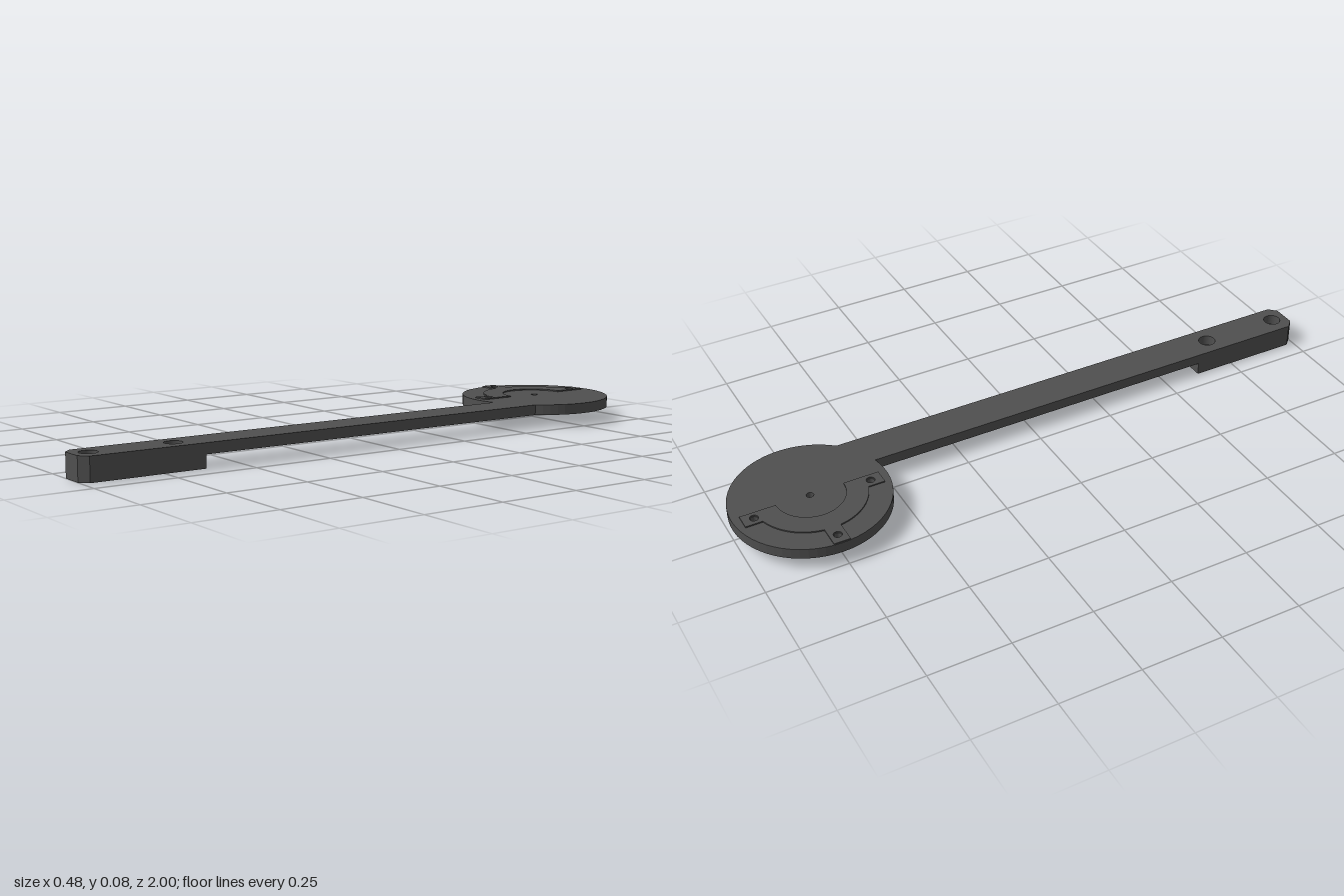
import * as THREE from 'three';

const DISC_Z = -0.76, DISC_R = 0.24;
const ARM_L = 0.06, ARM_R = 0.18, ARM_X = 0.12, FRONT = 1, CHAMFER = 0.024;
const UNDER = 0.04, TOP = 0.073, PAD_TOP = 0.077;
const BOLTS = [0.69, 0.95];
const TABS = [[-0.205, -0.76], [-0.025, -0.94], [-0.025, -0.58]];

const material = new THREE.MeshStandardMaterial({ color: 0x505050 });

// Plan shapes use (x, -z), then are laid flat between two heights
function slab(name, shape, y0, y1, curveSegments) {
  const geometry = new THREE.ExtrudeGeometry(shape, { depth: y1 - y0, bevelEnabled: false, curveSegments });
  geometry.rotateX(-Math.PI / 2).translate(0, y0, 0);
  const mesh = new THREE.Mesh(geometry, material);
  mesh.name = name;
  return mesh;
}

function drill(shape, x, z, r) {
  shape.holes.push(new THREE.Path().absarc(x, -z, r, 0, Math.PI * 2, true));
}

// Chamfered front end, from the right edge of the arm to its left edge
function frontEnd(shape) {
  shape.lineTo(ARM_L, -(FRONT - CHAMFER));
  shape.lineTo(ARM_L + CHAMFER, -FRONT);
  shape.lineTo(ARM_R - CHAMFER, -FRONT);
  shape.lineTo(ARM_R, -(FRONT - CHAMFER));
}

export function createModel() {
  const model = new THREE.Group();
  model.name = 'discArm';

  // Disc and arm in one plate, with wide bores for the bolt heads
  const a0 = -Math.acos(ARM_R / DISC_R);
  const a1 = Math.PI * 2 - Math.acos(ARM_L / DISC_R);
  const plate = new THREE.Shape();
  plate.absarc(0, -DISC_Z, DISC_R, a0, a1, false);
  frontEnd(plate);
  plate.closePath();
  drill(plate, 0, DISC_Z, 0.011);
  TABS.forEach(([x, z]) => drill(plate, x, z, 0.011));
  BOLTS.forEach(z => drill(plate, ARM_X, z, 0.027));
  model.add(slab('discAndArm', plate, UNDER, TOP, 28));

  // Thick mounting block below the front end, with narrow bolt holes
  const block = new THREE.Shape();
  block.moveTo(ARM_L, -0.62);
  frontEnd(block);
  block.lineTo(ARM_R, -0.62);
  block.closePath();
  BOLTS.forEach(z => drill(block, ARM_X, z, 0.016));
  model.add(slab('mountingBlock', block, 0, UNDER, 20));

  // Thin raised half ring with three screw tabs
  const cy = -DISC_Z, inner = 0.105, outer = 0.17, w = 0.05, reach = 0.215;
  const bend = Math.acos(-w / outer), side = Math.asin(w / 2 / outer);
  const pad = new THREE.Shape();
  pad.moveTo(0, cy + inner);
  pad.lineTo(0, cy + reach);
  pad.lineTo(-w, cy + reach);
  pad.absarc(0, cy, outer, bend, Math.PI - side, false);
  pad.lineTo(-0.238, cy + w / 2);
  pad.lineTo(-0.238, cy - w / 2);
  pad.absarc(0, cy, outer, Math.PI + side, Math.PI * 2 - bend, false);
  pad.lineTo(-w, cy - reach);
  pad.lineTo(0, cy - reach);
  pad.absarc(0, cy, inner, Math.PI * 1.5, Math.PI / 2, true);
  TABS.forEach(([x, z]) => drill(pad, x, z, 0.013));
  model.add(slab('raisedHalfRing', pad, TOP, PAD_TOP, 16));

  return model;
}
